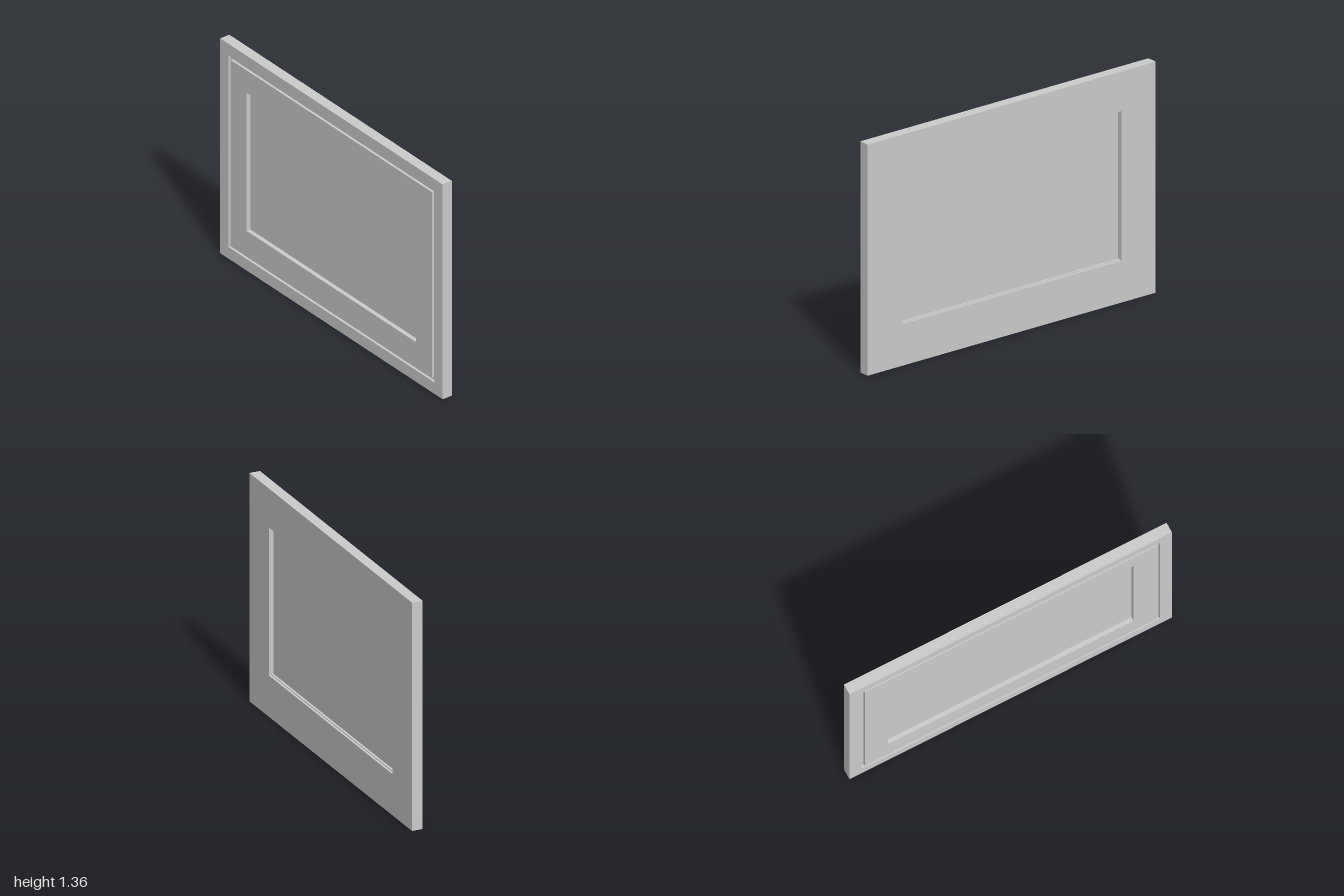
import * as THREE from 'three';

const material = new THREE.MeshStandardMaterial({ color: 0xcccccc });

// Traces a rectangle given as [left, bottom, right, top].
function trace(path, [l, b, r, t]) {
  path.moveTo(l, b);
  path.lineTo(r, b);
  path.lineTo(r, t);
  path.lineTo(l, t);
  path.closePath();
  return path;
}

// A rectangular ring between two outlines, filling z0 to z1.
function ring(name, outer, inner, z0, z1) {
  const shape = trace(new THREE.Shape(), outer);
  shape.holes.push(trace(new THREE.Path(), inner));
  const geometry = new THREE.ExtrudeGeometry(shape, { depth: z1 - z0, bevelEnabled: false });
  geometry.translate(0, 0, z0);
  const mesh = new THREE.Mesh(geometry, material);
  mesh.name = name;
  return mesh;
}

export function createModel() {
  const group = new THREE.Group();
  group.name = 'pictureFrame';

  const border = [-1, 0, 1, 1.36];
  const grooveOuter = [-0.925, 0.073, 0.925, 1.287];
  const grooveInner = [-0.905, 0.094, 0.905, 1.267];
  const opening = [-0.762, 0.251, 0.762, 1.127];
  const rearOpening = [-0.762, 0.246, 0.762, 1.127]; // small step along the bottom
  const back = -0.032, step = -0.018, grooveFloor = 0.017, front = 0.032;

  // Frame body, with the groove left open between the two front rings
  group.add(ring('frameBack', border, rearOpening, back, step));
  group.add(ring('frameBody', border, opening, step, grooveFloor));
  group.add(ring('outerFrontBorder', border, grooveOuter, grooveFloor, front));
  group.add(ring('innerFrontBorder', grooveInner, opening, grooveFloor, front));

  // Thin panel recessed from both faces
  const [l, b, r, t] = opening;
  const panel = new THREE.Mesh(new THREE.BoxGeometry(r - l, t - b, 0.01), material);
  panel.position.set((l + r) / 2, (b + t) / 2, 0.001);
  panel.name = 'panel';
  group.add(panel);

  return group;
}
